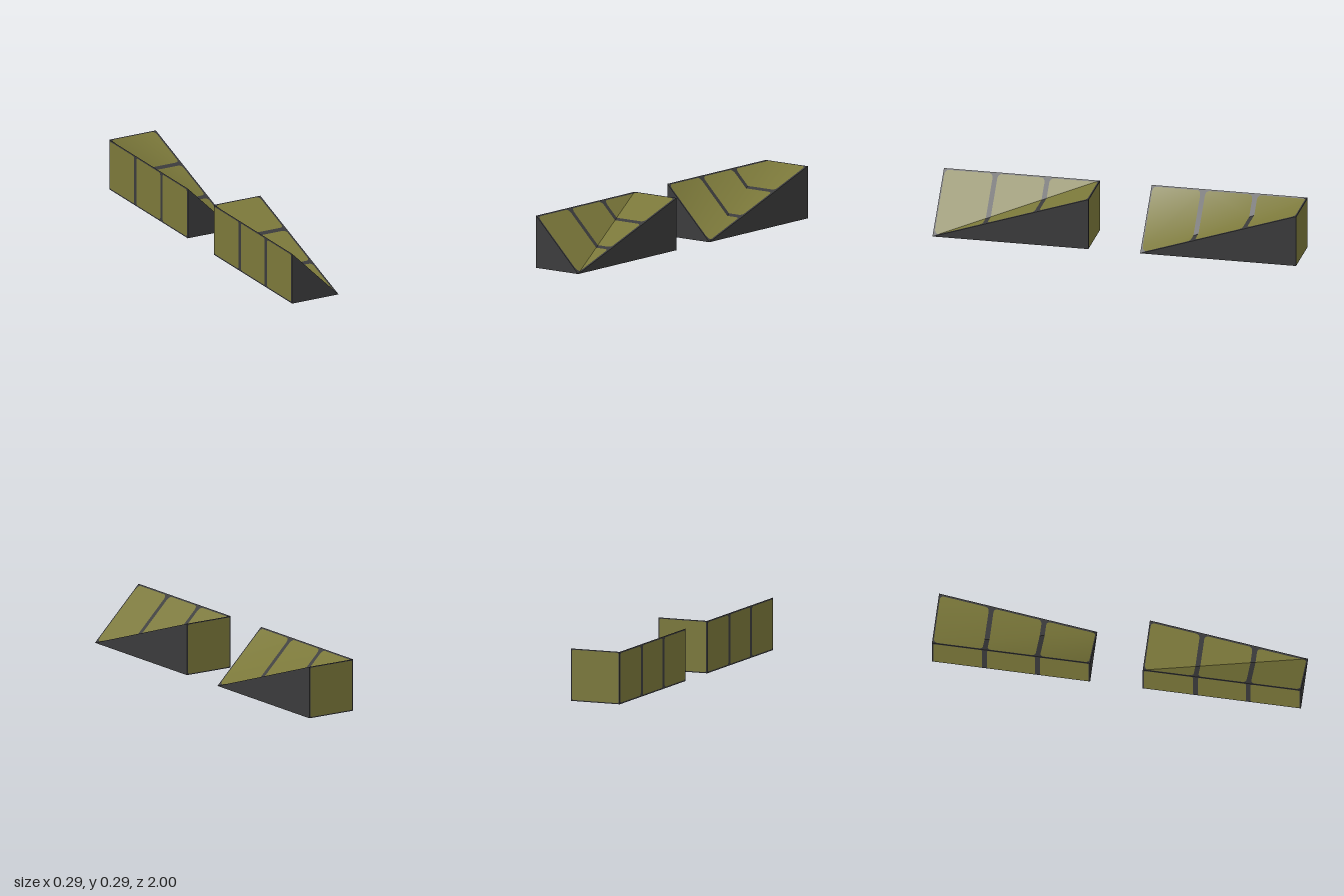
import * as THREE from 'three';

const W = 0.143;          // half width
const H = 0.285;          // height
const L = 0.857;          // length of one block
const LIFT = 0.0012;      // height of painted panels over the body

const darkGrey = new THREE.MeshStandardMaterial({ color: 0x3b3b3c });
const olive = new THREE.MeshStandardMaterial({ color: 0x7b783a });

// Rounded rectangle outline, counter-clockwise
function outline(u0, u1, v0, v1, r) {
  const pts = [];
  const corners = [[u1 - r, v0 + r], [u1 - r, v1 - r], [u0 + r, v1 - r], [u0 + r, v0 + r]];
  corners.forEach(([cu, cv], k) => {
    for (let i = 0; i <= 4; i++) {
      const a = (k - 1 + i / 4) * Math.PI / 2;
      pts.push([cu + r * Math.cos(a), cv + r * Math.sin(a)]);
    }
  });
  return pts;
}

// Keep the part of a convex outline where side(point) >= 0
function clip(pts, side) {
  const out = [];
  pts.forEach((p, i) => {
    const q = pts[(i + 1) % pts.length];
    const a = side(p), b = side(q);
    if (a >= 0) out.push(p);
    if (a * b < 0) {
      const k = a / (a - b);
      out.push([p[0] + (q[0] - p[0]) * k, p[1] + (q[1] - p[1]) * k]);
    }
  });
  return out;
}

// Convex outline placed in space as a fan of triangles
function panel(name, pts, place, normalAt) {
  const geo = new THREE.BufferGeometry();
  const index = [];
  for (let i = 1; i < pts.length - 1; i++) index.push(0, i, i + 1);
  geo.setAttribute('position', new THREE.Float32BufferAttribute(pts.flatMap(p => place(p)), 3));
  geo.setIndex(index);
  if (normalAt) geo.setAttribute('normal', new THREE.Float32BufferAttribute(pts.flatMap(p => normalAt(p).toArray()), 3));
  else geo.computeVertexNormals();
  const mesh = new THREE.Mesh(geo, olive);
  mesh.name = name;
  return mesh;
}

// Solid body with a valley running diagonally across its top
function body() {
  const z = L / 2;
  const corners = [
    -W, 0, z, -W, 0, -z, W, 0, -z, W, 0, z,   // 0-3 base
    -W, H, z, -W, H, -z, W, H, -z,            // 4-6 raised corners
  ];
  const faces = [
    0, 1, 2, 0, 2, 3,   // bottom
    0, 4, 5, 0, 5, 1,   // full side
    1, 5, 6, 1, 6, 2,   // back
    0, 3, 4,            // front triangle
    3, 2, 6,            // side triangle
    4, 3, 5, 5, 3, 6,   // two slopes
  ];
  const geo = new THREE.BufferGeometry();
  geo.setAttribute('position', new THREE.Float32BufferAttribute(corners, 3));
  geo.setIndex(faces);
  const flat = geo.toNonIndexed();
  flat.computeVertexNormals();
  const mesh = new THREE.Mesh(flat, darkGrey);
  mesh.name = 'body';
  return mesh;
}

function wedgeBlock(name, smoothValley) {
  const block = new THREE.Group();
  block.name = name;
  block.add(body());

  // Signed distance from the valley line: positive over the end slope
  const across = ([x, v]) => (x + W) / (2 * W) - (1 - v / L);
  const onTop = ([x, v]) => {
    const s = (x + W) / (2 * W), t = 1 - v / L;
    return [x, H * (1 - Math.min(s, t)) + LIFT, L / 2 - v];
  };
  const sideNormal = new THREE.Vector3(H, 2 * W, 0).normalize();
  const endNormal = new THREE.Vector3(0, L, H).normalize();
  const valleyNormal = sideNormal.clone().add(endNormal).normalize();
  const soft = face => p => valleyNormal.clone().lerp(face, Math.abs(across(p))).normalize();

  const edge = 0.008, gap = 0.013;
  for (let i = 0; i < 3; i++) {
    const a = i * L / 3 + (i === 0 ? edge : gap);
    const b = (i + 1) * L / 3 - (i === 2 ? edge : gap);

    // Slope panels, folded along the valley
    const top = outline(-W + 0.007, W - 0.011, a, b, 0.02);
    const endPart = clip(top, across);
    const sidePart = clip(top, p => -across(p));
    if (endPart.length > 2) block.add(panel('endSlopePanel', endPart, onTop, smoothValley && soft(endNormal)));
    if (sidePart.length > 2) block.add(panel('sideSlopePanel', sidePart, onTop, smoothValley && soft(sideNormal)));

    // Underside and full side panels
    block.add(panel('bottomPanel', outline(-W + edge, W - edge, a, b, 0.012),
      ([x, v]) => [x, -LIFT, v - L / 2]));
    block.add(panel('sidePanel', outline(a, b, edge, H - edge, 0.012),
      ([u, y]) => [-W - LIFT, y, u - L / 2]));
  }
  // Single square panel on the back
  block.add(panel('backPanel', outline(-W + 0.006, W - 0.006, 0.006, H - 0.006, 0.01),
    ([u, y]) => [-u, y, -L / 2 - LIFT]));
  return block;
}

export function createModel() {
  const model = new THREE.Group();
  model.name = 'wedgeBlocks';
  const front = wedgeBlock('frontBlock', false);
  const back = wedgeBlock('backBlock', true);
  front.position.set(0, LIFT, 1 - L / 2);
  back.position.set(0, LIFT, -1 + L / 2 + LIFT);
  model.add(front, back);
  return model;
}
